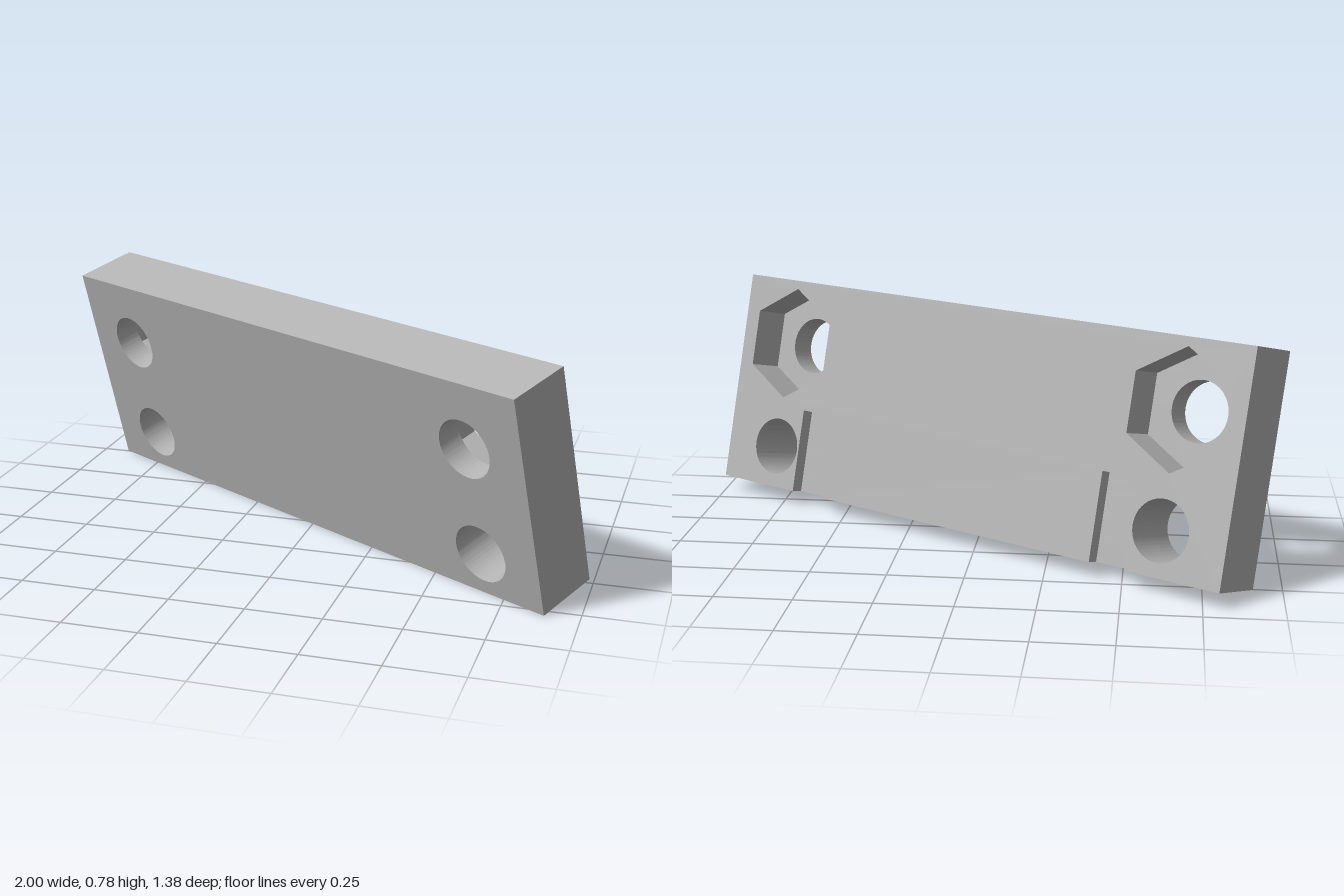
import * as THREE from 'three';
import { toCreasedNormals } from 'three/addons/utils/BufferGeometryUtils.js';

const W = 1.0375, H = 0.376, T = 0.113;       // half length, height, thickness
const HOLE_X = 0.807, TOP_Y = 0.148, LOW_Y = -0.229, HOLE_R = 0.1;
const HEX_R = 0.198, HEX_DEPTH = 0.136;
const SLOT_IN = 0.57, SLOT_OUT = 0.7, SLOT_TOP = -0.082, SLOT_DEPTH = 0.045;

function roundHole(x, y) {
  return new THREE.Path().absarc(x, y, HOLE_R, 0, Math.PI * 2, true);
}

// hexagon with a corner pointing up
function hexHole(x, y) {
  const pts = [];
  for (let i = 0; i < 6; i++) {
    const a = Math.PI / 2 - i * Math.PI / 3;
    pts.push(new THREE.Vector2(x + HEX_R * Math.cos(a), y + HEX_R * Math.sin(a)));
  }
  return new THREE.Path(pts);
}

// plate outline, optionally notched along its lower edge
function outline(slotted) {
  const notch = (a, b) => [[a, -H], [a, SLOT_TOP], [b, SLOT_TOP], [b, -H]];
  const pts = [[-W, -H]];
  if (slotted) pts.push(...notch(-SLOT_OUT, -SLOT_IN), ...notch(SLOT_IN, SLOT_OUT));
  pts.push([W, -H], [W, H], [-W, H]);
  return new THREE.Shape(pts.map(([x, y]) => new THREE.Vector2(x, y)));
}

function layer(name, z0, z1, slotted, upperHole, material) {
  const shape = outline(slotted);
  for (const s of [-1, 1]) {
    shape.holes.push(upperHole(s * HOLE_X, TOP_Y), roundHole(s * HOLE_X, LOW_Y));
  }
  const geo = new THREE.ExtrudeGeometry(shape, { depth: z1 - z0, bevelEnabled: false, curveSegments: 48 });
  geo.translate(0, 0, z0);
  const mesh = new THREE.Mesh(toCreasedNormals(geo, 0.5), material);
  mesh.name = name;
  return mesh;
}

export function createModel() {
  const grey = new THREE.MeshStandardMaterial({ color: 0xb4b4b4 });
  grey.name = 'plain grey';

  const plate = new THREE.Group();
  plate.name = 'mountingPlate';
  const floorZ = -T + HEX_DEPTH, slotZ = -T + SLOT_DEPTH;
  plate.add(
    layer('frontPlateWithBoltHoles', floorZ, T, false, roundHole, grey),
    layer('middlePlateWithNutPockets', slotZ, floorZ, false, hexHole, grey),
    layer('backPlateWithSlots', -T, slotZ, true, hexHole, grey)
  );

  // the plate is turned and leans forward, resting on its lower front edge
  plate.rotation.set(THREE.MathUtils.degToRad(14), -Math.PI / 6, 0, 'YXZ');
  plate.position.y = 0.392;

  const model = new THREE.Group();
  model.name = 'model';
  model.add(plate);
  return model;
}
